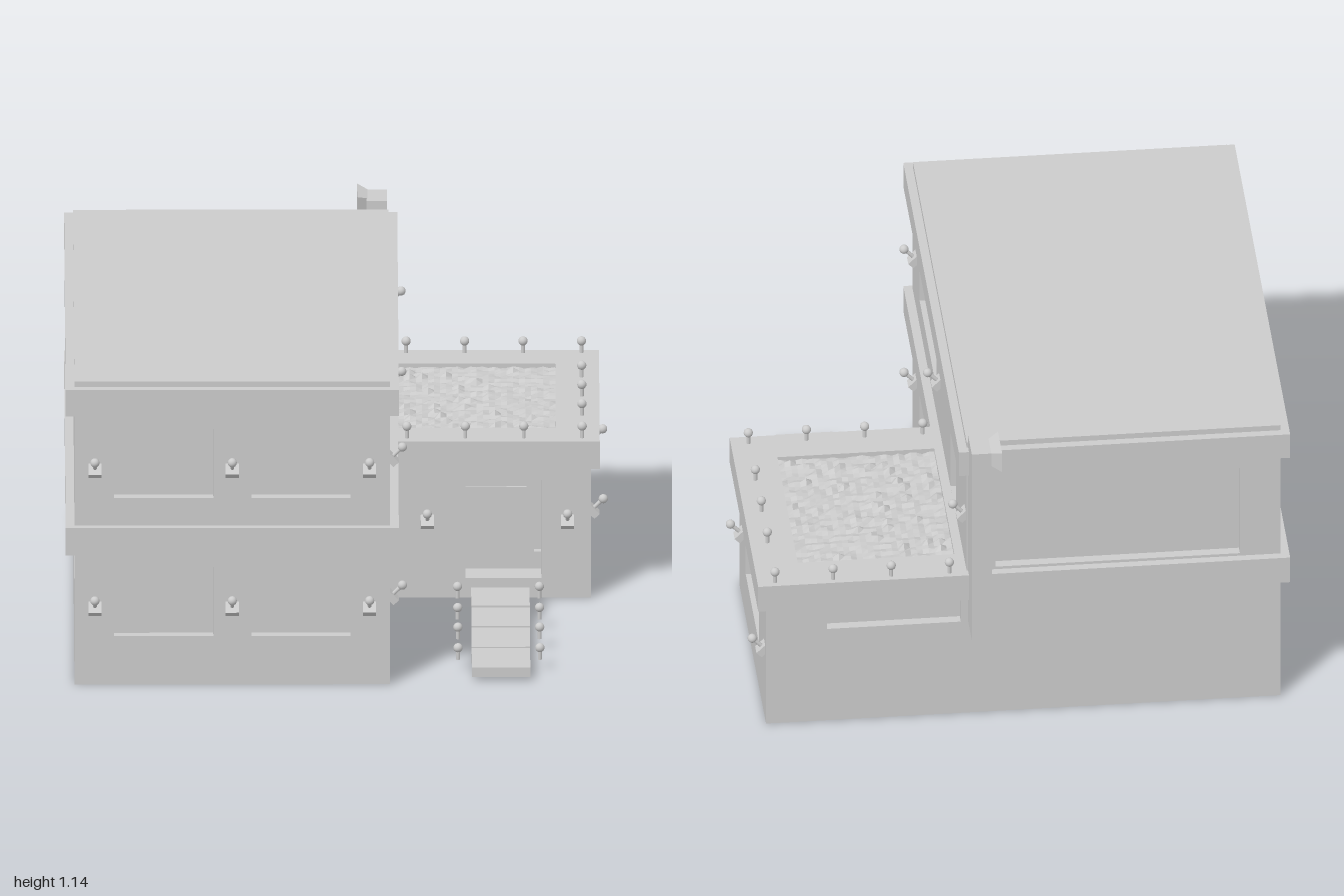
import * as THREE from 'three';

const mat = new THREE.MeshStandardMaterial({ color: 0xcccccc });
const flatMat = new THREE.MeshStandardMaterial({ color: 0xcccccc, flatShading: true, side: THREE.DoubleSide });
const T = 0.1; // wall thickness

function add(parent, name, geo, x = 0, y = 0, z = 0, material = mat) {
  const m = new THREE.Mesh(geo, material);
  m.name = name;
  m.position.set(x, y, z);
  parent.add(m);
  return m;
}

// Box given by its limits
function block(parent, name, x0, x1, y0, y1, z0, z1) {
  return add(parent, name, new THREE.BoxGeometry(x1 - x0, y1 - y0, z1 - z0),
    (x0 + x1) / 2, (y0 + y1) / 2, (z0 + z1) / 2);
}

function rect(Type, u0, u1, v0, v1) {
  const p = new Type();
  p.moveTo(u0, v0);
  p.lineTo(u1, v0);
  p.lineTo(u1, v1);
  p.lineTo(u0, v1);
  p.closePath();
  return p;
}

// Each side maps a wall's own u axis to the world; sign turns world x or z into u
const SIDES = {
  front: { turn: 0, sign: 1 },
  right: { turn: Math.PI / 2, sign: -1 },
  back: { turn: Math.PI, sign: -1 },
  left: { turn: -Math.PI / 2, sign: 1 },
};

function place(obj, side, at) {
  obj.rotation.y = SIDES[side].turn;
  if (side === 'front' || side === 'back') obj.position.z = at;
  else obj.position.x = at;
}

// Wall with openings [a0, a1, y0, y1, isDoor]; windows get a recessed pane
function wall(parent, name, side, at, a0, a1, y0, y1, openings = []) {
  const g = new THREE.Group();
  g.name = name;
  const s = SIDES[side].sign;
  const span = (p, q) => [Math.min(s * p, s * q), Math.max(s * p, s * q)];
  const shape = rect(THREE.Shape, ...span(a0, a1), y0, y1);
  for (const [p, q, v0, v1, door] of openings) {
    const [u0, u1] = span(p, q);
    shape.holes.push(rect(THREE.Path, u0, u1, v0, v1));
    if (!door) block(g, 'windowPane', u0, u1, v0, v1, -T + 0.005, -0.035);
  }
  add(g, 'wallPanel', new THREE.ExtrudeGeometry(shape, { depth: T, bevelEnabled: false }), 0, 0, -T);
  place(g, side, at);
  parent.add(g);
}

// Lamp tilted out from a wall
function wallLamp(parent, side, at, a, y) {
  const holder = new THREE.Group();
  holder.name = 'wallLamp';
  const lamp = new THREE.Group();
  lamp.position.set(SIDES[side].sign * a, y, 0);
  lamp.rotation.x = Math.PI / 4;
  add(lamp, 'lampBase', new THREE.BoxGeometry(0.045, 0.025, 0.05), 0, 0.005, 0);
  add(lamp, 'lampStem', new THREE.CylinderGeometry(0.007, 0.007, 0.04, 10), 0, 0.035, 0);
  add(lamp, 'lampGlobe', new THREE.SphereGeometry(0.016, 14, 10), 0, 0.06, 0);
  holder.add(lamp);
  place(holder, side, at);
  parent.add(holder);
}

// Lamp on a short upright stem
function postLamp(parent, x, y, z) {
  const g = new THREE.Group();
  g.name = 'postLamp';
  g.position.set(x, y, z);
  add(g, 'lampStem', new THREE.CylinderGeometry(0.007, 0.007, 0.04, 10), 0, 0.02, 0);
  add(g, 'lampGlobe', new THREE.SphereGeometry(0.016, 14, 10), 0, 0.042, 0);
  parent.add(g);
}

export function createModel() {
  const house = new THREE.Group();
  house.name = 'house';

  // Main block: two storeys, same front and right windows on each
  block(house, 'mainCore', -0.8, 0.08, 0, 1.05, -0.75, 0.85);
  for (const [floor, y0, y1, w0, w1] of [['lower', 0, 0.5, 0.175, 0.425], ['upper', 0.5, 1.0, 0.675, 0.925]]) {
    const upper = floor === 'upper';
    wall(house, floor + 'FrontWall', 'front', 0.95, -0.9, 0.18, y0, y1,
      [[-0.765, -0.425, w0, w1], [-0.295, 0.045, w0, w1]]);
    wall(house, floor + 'RightWall', 'right', 0.18, -0.85, 0.95, y0, y1,
      upper ? [[0.16, 0.72, w0, w1], [-0.5, -0.31, 0.576, 0.84, true]] : [[0.16, 0.72, w0, w1]]);
    wall(house, floor + 'BackWall', 'back', -0.85, -0.9, 0.18, y0, y1,
      upper ? [[-0.76, 0.09, 0.585, 0.93]] : []);
    wall(house, floor + 'LeftWall', 'left', -0.9, -0.85, 0.95, y0, y1,
      upper ? [] : [[-0.64, 0.74, 0.3, 0.47]]);
    for (const x of [-0.83, -0.36, 0.11]) wallLamp(house, 'front', 0.95, x, y0 + 0.275);
    for (const z of upper ? [0.83, 0.04, -0.8] : [0.83]) wallLamp(house, 'right', 0.18, z, y0 + 0.275);
  }
  block(house, 'floorBand', -0.93, 0.21, 0.475, 0.575, -0.88, 0.975);
  block(house, 'roofBand', -0.93, 0.21, 0.98, 1.075, -0.88, 0.975);
  block(house, 'roofSlab', -0.9, 0.18, 1.07, 1.095, -0.85, 0.945);

  // Terrace door: slatted jamb and frame post
  block(house, 'doorPost', 0.09, 0.12, 0.575, 0.84, -0.5, -0.47);
  for (let i = 0; i < 9; i++) {
    block(house, 'doorSlat', 0.09, 0.13, 0.58 + i * 0.029, 0.6 + i * 0.029, -0.34, -0.311);
  }

  // Side wing with entrance
  block(house, 'wingCore', 0.1, 0.77, 0, 0.5, -0.75, -0.055);
  wall(house, 'wingFrontWall', 'front', 0.045, 0.18, 0.87, 0, 0.5, [[0.44, 0.7, 0.07, 0.425, true]]);
  wall(house, 'wingRightWall', 'right', 0.87, -0.85, 0.045, 0, 0.5, [[-0.62, -0.17, 0.175, 0.474]]);
  wall(house, 'wingBackWall', 'back', -0.85, 0.18, 0.87, 0, 0.5, [[0.2, 0.66, 0.37, 0.474]]);
  for (const x of [0.31, 0.79]) wallLamp(house, 'front', 0.045, x, 0.275);
  for (const z of [-0.07, -0.8]) wallLamp(house, 'right', 0.87, z, 0.275);
  block(house, 'doorRail', 0.44, 0.65, 0.35, 0.368, -0.056, -0.045);
  for (const y of [0.12, 0.39]) block(house, 'doorHinge', 0.675, 0.699, y, y + 0.02, -0.056, -0.03);

  // Terrace: rim with opening, filled by a rough planted bed
  const rim = rect(THREE.Shape, 0.19, 0.9, -0.075, 0.88);
  rim.holes.push(rect(THREE.Path, 0.211, 0.75, 0.065, 0.74));
  const rimGeo = new THREE.ExtrudeGeometry(rim, { depth: 0.1, bevelEnabled: false });
  add(house, 'terraceRim', rimGeo.rotateX(-Math.PI / 2), 0, 0.475, 0);
  let seed = 7;
  const random = () => (seed = (seed * 16807) % 2147483647) / 2147483647;
  const bed = new THREE.PlaneGeometry(0.54, 0.675, 26, 32).rotateX(-Math.PI / 2);
  const p = bed.attributes.position;
  for (let i = 0; i < p.count; i++) {
    p.setY(i, 0.01 * (random() - 0.5) + (random() > 0.95 ? 0.012 : 0));
  }
  add(house, 'terraceBed', bed, 0.48, 0.56, -0.4025, flatMat);

  // Terrace lamps
  for (const x of [0.24, 0.44, 0.64, 0.84]) {
    for (const z of [0.035, -0.855]) postLamp(house, x, 0.575, z);
  }
  for (const z of [-0.2, -0.4, -0.6]) postLamp(house, 0.84, 0.575, z);

  // Entrance path with lamps on both sides
  const slabs = [[0.07, 0.26, 0.16], [0.28, 0.475, 0.38], [0.49, 0.69, 0.585], [0.705, 0.905, 0.8]];
  for (const [z0, z1, lampZ] of slabs) {
    block(house, 'pathSlab', 0.46, 0.66, 0.01, 0.045, z0, z1);
    for (const x of [0.413, 0.693]) postLamp(house, x, 0.038, lampZ);
  }

  // Flue on the back wall with a flared outlet at the top
  block(house, 'flue', 0.105, 0.175, 0.37, 1.125, -0.975, -0.85);
  const r = Math.SQRT1_2;
  const flare = new THREE.CylinderGeometry(r * 1.5, r, 1, 4).toNonIndexed();
  flare.rotateY(Math.PI / 4).rotateZ(Math.PI / 2).scale(0.035, 0.05, 0.095);
  flare.computeVertexNormals();
  add(house, 'flueOutlet', flare, 0.0905, 1.1, -0.928);

  return house;
}
